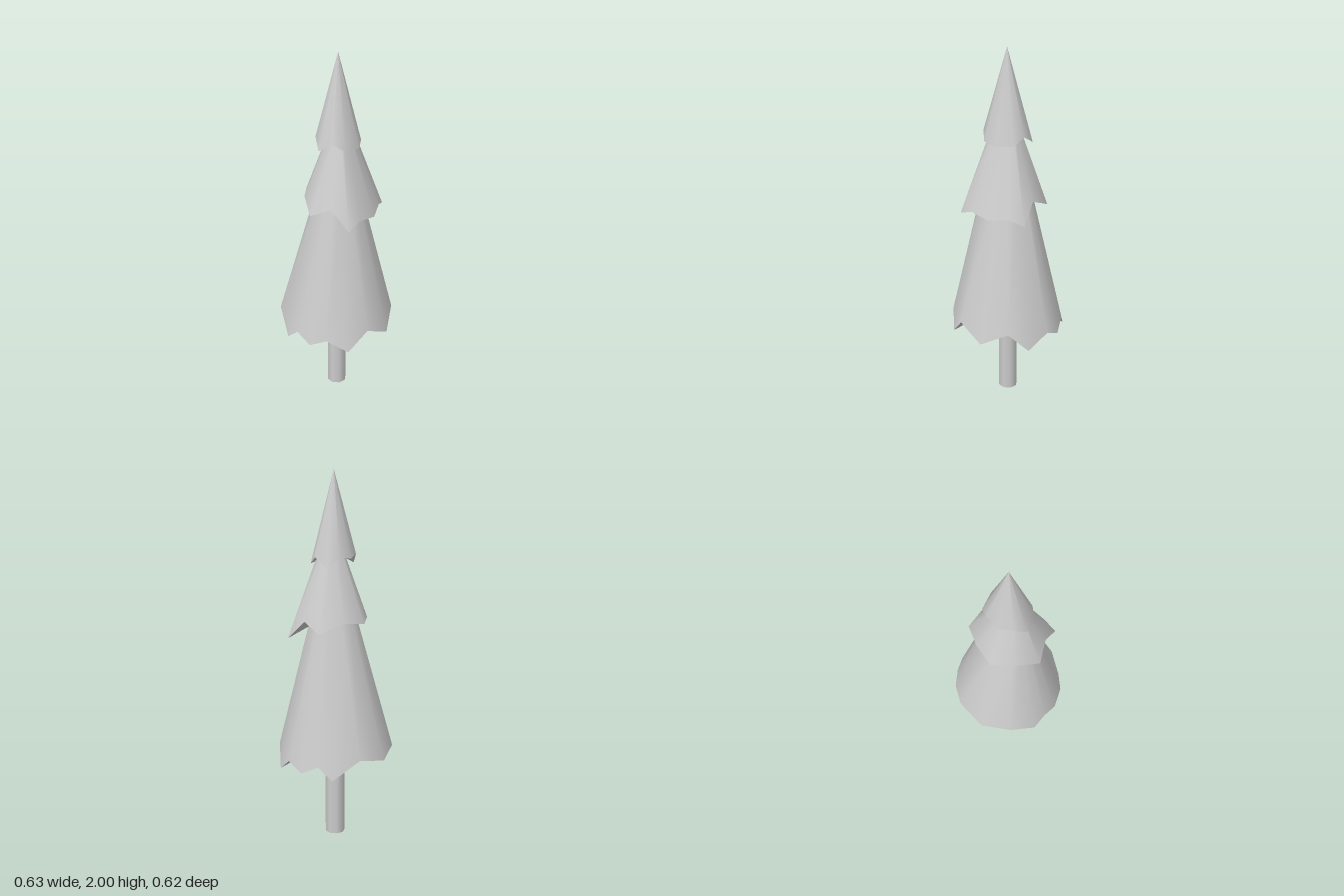
import * as THREE from 'three';

const material = new THREE.MeshStandardMaterial({ color: 0xcccccc });
const doubleSided = new THREE.MeshStandardMaterial({ color: 0xcccccc, side: THREE.DoubleSide });

function makeMesh(name, points, index, mat) {
  const geometry = new THREE.BufferGeometry();
  geometry.setAttribute('position', new THREE.Float32BufferAttribute(points.flat(), 3));
  geometry.setIndex(index);
  geometry.computeVertexNormals();
  const mesh = new THREE.Mesh(geometry, mat);
  mesh.name = name;
  return mesh;
}

// A skirt of foliage: a jagged rim drawn in to a smaller ring (or a tip).
// halfRim runs from +x to -x through +z as [x, y, z] and is mirrored to -z.
function makeTier(name, { halfRim, topY, topX, scaleX, scaleZ, hubY }) {
  const mirrored = halfRim.slice(1, -1).reverse().map(([x, y, z]) => [x, y, -z]);
  const rim = [...halfRim, ...mirrored];
  const top = rim.map(([x, , z]) => [topX + x * scaleX, topY, z * scaleZ]);
  const n = rim.length;
  const wall = [];
  const fan = [];
  for (let i = 0; i < n; i++) {
    const j = (i + 1) % n;
    wall.push(j, i, n + i);
    if (scaleX > 0) wall.push(j, n + i, n + j);
    fan.push(n, i, j);
  }
  const tier = new THREE.Group();
  tier.name = name;
  tier.add(makeMesh(name + 'Skirt', [...rim, ...top], wall, material));
  // Hollow underside rising to the trunk
  tier.add(makeMesh(name + 'Underside', [...rim, [topX, hubY, 0]], fan, doubleSided));
  return tier;
}

const tiers = {
  lowerFoliage: {
    halfRim: [
      [0.315, 0.43, 0], [0.27, 0.505, 0.145], [0.2, 0.395, 0.233], [0.1, 0.472, 0.295],
      [0.005, 0.425, 0.311], [-0.085, 0.47, 0.29], [-0.16, 0.4, 0.265],
      [-0.267, 0.505, 0.165], [-0.315, 0.47, 0],
    ],
    topY: 1.25, topX: 0.012, scaleX: 0.35, scaleZ: 0.42, hubY: 0.54,
  },
  middleFoliage: {
    halfRim: [
      [0.225, 1.13, 0], [0.195, 1.145, 0.11], [0.175, 1.115, 0.19], [0.07, 1.215, 0.185],
      [-0.04, 1.165, 0.214], [-0.13, 1.215, 0.115], [-0.185, 1.2, 0],
    ],
    topY: 1.6, topX: 0.012, scaleX: 0.24, scaleZ: 0.3, hubY: 1.24,
  },
  upperFoliage: {
    halfRim: [
      [0.132, 1.505, 0], [0.097, 1.51, 0.086], [0.045, 1.55, 0.12], [-0.035, 1.5, 0.127],
      [-0.08, 1.555, 0.08], [-0.102, 1.54, 0],
    ],
    topY: 2, topX: 0.008, scaleX: 0, scaleZ: 0, hubY: 1.57,
  },
};

export function createModel() {
  const tree = new THREE.Group();
  tree.name = 'pineTree';

  // Trunk, running up into the lowest skirt
  const trunk = new THREE.Mesh(new THREE.CylinderGeometry(0.053, 0.053, 0.6, 8), material);
  trunk.position.y = 0.3;
  trunk.name = 'trunk';
  tree.add(trunk);

  // Three stacked skirts of foliage
  for (const [name, spec] of Object.entries(tiers)) tree.add(makeTier(name, spec));
  return tree;
}
